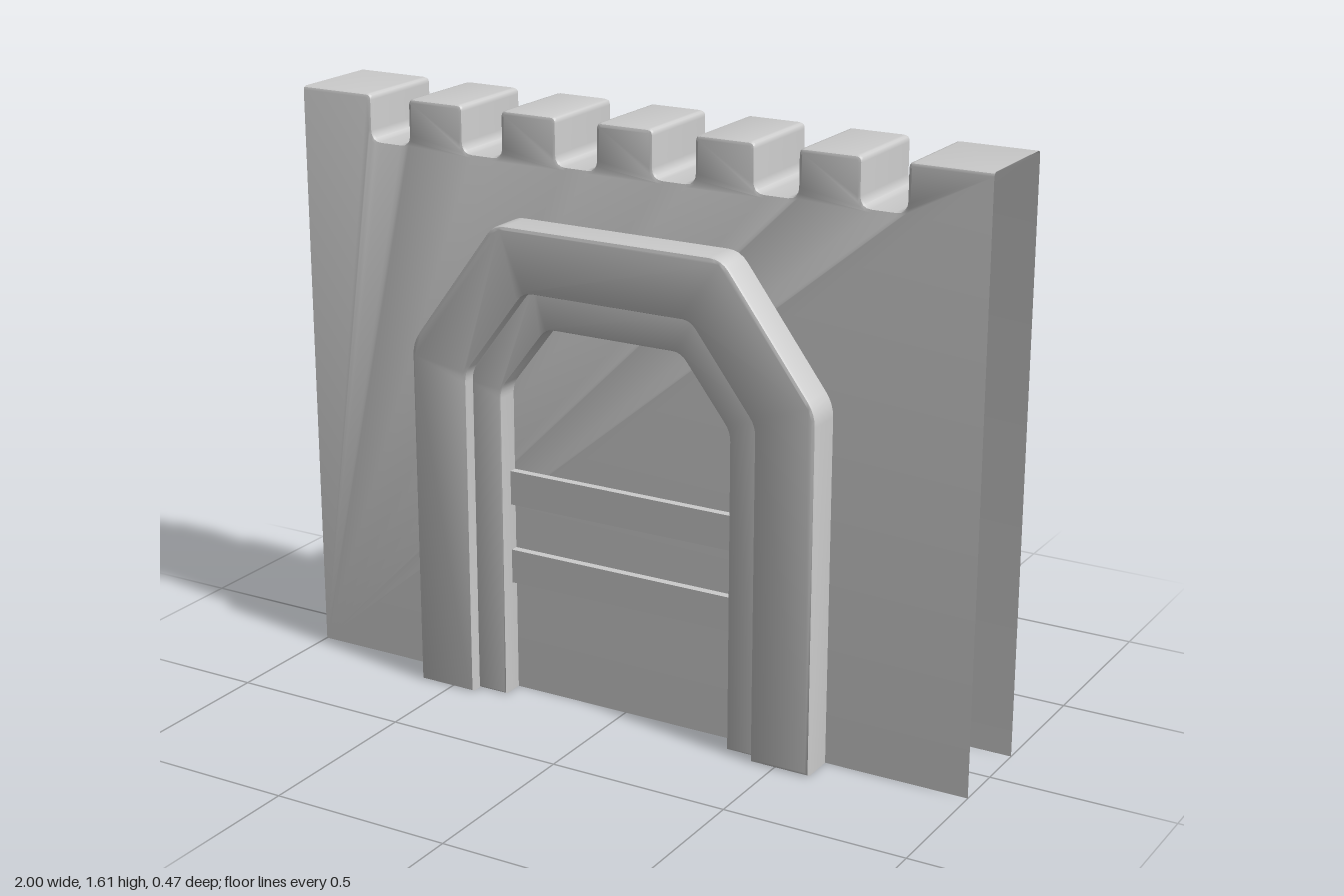
import * as THREE from 'three';
import { toCreasedNormals } from 'three/addons/utils/BufferGeometryUtils.js';

const solid = new THREE.MeshStandardMaterial({ color: 0xcccccc });
const sheet = new THREE.MeshStandardMaterial({ color: 0xcccccc, side: THREE.DoubleSide });

const WALL_TOP = 1.605, NOTCH_FLOOR = 1.48, WALL_Z = 0.138;

// Closed shape from [x, y, cornerRadius] points
function roundedShape(points) {
  const shape = new THREE.Shape();
  const n = points.length;
  const toward = (a, b, r) => {
    const v = new THREE.Vector2(b[0] - a[0], b[1] - a[1]).setLength(r);
    return [a[0] + v.x, a[1] + v.y];
  };
  points.forEach((p, i) => {
    const r = p[2] || 0;
    const start = r ? toward(p, points[(i + n - 1) % n], r) : p;
    if (i === 0) shape.moveTo(start[0], start[1]);
    else shape.lineTo(start[0], start[1]);
    if (r) {
      const end = toward(p, points[(i + 1) % n], r);
      shape.quadraticCurveTo(p[0], p[1], end[0], end[1]);
    }
  });
  shape.closePath();
  return shape;
}

// Extrusion between z0 and z1 whose bevel stays inside the outline
function bevelled(shape, z0, z1, bevel) {
  const geo = new THREE.ExtrudeGeometry(shape, {
    depth: z1 - z0 - 2 * bevel,
    bevelThickness: bevel,
    bevelSize: bevel,
    bevelOffset: -bevel,
    bevelSegments: 2,
    curveSegments: 4,
  });
  return geo.translate(0, 0, z0 + bevel);
}

// Hollow battlement wall: open at both ends and underneath
function wallGeometry() {
  const pts = [[1.1, -0.1], [1.1, WALL_TOP]];
  for (const x of [0.72, 0.43, 0.143, -0.143, -0.43, -0.72]) {
    const h = 0.06;
    pts.push([x + h, WALL_TOP, 0.016], [x + h, NOTCH_FLOOR, 0.028],
      [x - h, NOTCH_FLOOR, 0.028], [x - h, WALL_TOP, 0.016]);
  }
  pts.push([-1.1, WALL_TOP], [-1.1, -0.1]);
  const geo = bevelled(roundedShape(pts.reverse()), -WALL_Z, WALL_Z, 0.01);

  // Trim the overhang to the wall limits, dropping the faces that close it
  const src = geo.attributes.position;
  const kept = [];
  for (let i = 0; i < src.count; i += 3) {
    const tri = [0, 1, 2].map((k) => new THREE.Vector3(
      THREE.MathUtils.clamp(src.getX(i + k), -1, 1),
      Math.max(0, src.getY(i + k)),
      src.getZ(i + k)));
    const closes = tri.every((v) => v.x === 1) || tri.every((v) => v.x === -1) ||
      tri.every((v) => v.y === 0);
    if (!closes) tri.forEach((v) => kept.push(v.x, v.y, v.z));
  }
  const open = new THREE.BufferGeometry();
  open.setAttribute('position', new THREE.Float32BufferAttribute(kept, 3));
  return toCreasedNormals(open, 0.6);
}

// Arch band; outer and inner are [halfWidth, springHeight, topHalfWidth, topHeight]
function archGeometry(outer, inner, z0, z1, bevel) {
  const side = ([w, s, t, h], r) => [[-w, 0], [-w, s, r], [-t, h, r], [t, h, r], [w, s, r], [w, 0]];
  const pts = [...side(outer, 0.035), ...side(inner, 0.025).reverse()];
  return toCreasedNormals(bevelled(roundedShape(pts.reverse()), z0, z1, bevel), 0.6);
}

function addMesh(parent, name, geometry, material) {
  const mesh = new THREE.Mesh(geometry, material);
  mesh.name = name;
  parent.add(mesh);
  return mesh;
}

export function createModel() {
  const model = new THREE.Group();
  model.name = 'castleGateWall';
  addMesh(model, 'battlementWall', wallGeometry(), sheet);

  const frame = archGeometry([0.6, 0.975, 0.335, 1.33], [0.43, 0.915, 0.245, 1.158], 0.125, 0.235, 0.01);
  const trim = archGeometry([0.45, 0.92, 0.255, 1.18], [0.343, 0.875, 0.2, 1.06], 0.125, 0.2, 0.006);
  const bar = new THREE.BoxGeometry(0.69, 0.095, 0.03);

  // The same gate on the front and the back
  for (const [name, turn] of [['frontGate', 0], ['backGate', Math.PI]]) {
    const gate = new THREE.Group();
    gate.name = name;
    gate.rotation.y = turn;
    addMesh(gate, 'archFrame', frame, solid);
    addMesh(gate, 'innerArchTrim', trim, solid);
    for (const y of [0.3625, 0.5875]) {
      addMesh(gate, 'doorCrossbar', bar, solid).position.set(0, y, 0.145);
    }
    model.add(gate);
  }
  return model;
}
